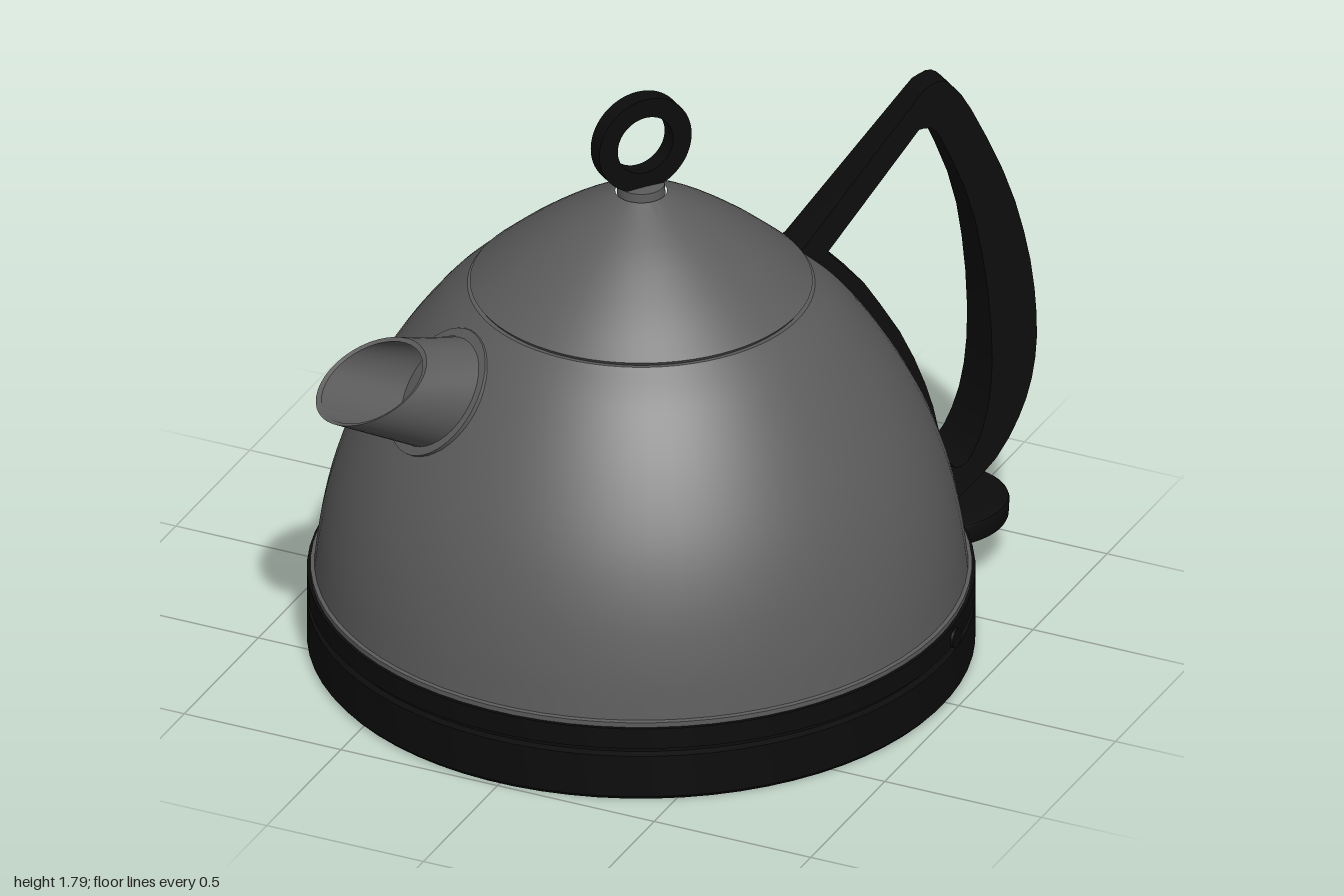
import * as THREE from 'three';
import { toCreasedNormals } from 'three/addons/utils/BufferGeometryUtils.js';

const V2 = (p) => p.map(([x, y]) => new THREE.Vector2(x, y));

// Closed smooth or straight-cornered outline
function outline(corners, curve) {
  return [...V2(corners), ...new THREE.SplineCurve(V2(curve)).getPoints(28)];
}

// Surface through oval rings given as [upper (r,y), lower (r,y), half width]
function loftOvals(rings, n = 40) {
  const pos = [], idx = [];
  rings.forEach(([a, b, w], j) => {
    for (let i = 0; i <= n; i++) {
      const t = (i / n) * Math.PI * 2, c = Math.cos(t) / 2;
      pos.push((a[0] + b[0]) / 2 + (a[0] - b[0]) * c, (a[1] + b[1]) / 2 + (a[1] - b[1]) * c, w * Math.sin(t));
      if (j && i < n) {
        const q = j * (n + 1) + i, p = q - n - 1;
        idx.push(p, p + 1, q, p + 1, q + 1, q);
      }
    }
  });
  const g = new THREE.BufferGeometry();
  g.setAttribute('position', new THREE.Float32BufferAttribute(pos, 3));
  g.setIndex(idx);
  return toCreasedNormals(g, 0.6);
}

export function createModel() {
  const kettle = new THREE.Group();
  kettle.name = 'kettle';
  const steel = new THREE.MeshStandardMaterial({ color: 0x5c5c5c });
  const thinSteel = new THREE.MeshStandardMaterial({ color: 0x5c5c5c, side: THREE.DoubleSide });
  const black = new THREE.MeshStandardMaterial({ color: 0x0c0c0c });

  // Everything is built with the handle towards +x, then turned
  const turned = new THREE.Group();
  turned.name = 'kettleBody';
  turned.position.z = 0.03;
  turned.rotation.y = 0.92;
  kettle.add(turned);

  const add = (name, geo, mat, parent = turned) => {
    const m = new THREE.Mesh(geo, mat);
    m.name = name;
    parent.add(m);
    return m;
  };
  const lathe = (name, pts, mat, crease = 0.5) =>
    add(name, toCreasedNormals(new THREE.LatheGeometry(V2(pts), 72), crease), mat);

  // Base with a groove between stand and body ring
  lathe('base', [[0, 0], [0.955, 0], [0.965, 0.012], [0.965, 0.145], [0.945, 0.15], [0.945, 0.165],
    [0.965, 0.17], [0.965, 0.235], [0.93, 0.235]], black);
  lathe('bodyRim', [[0.955, 0.23], [0.955, 0.25], [0.94, 0.253]], steel);

  // Domed body
  const dome = new THREE.SplineCurve(V2([[0.945, 0.24], [0.924, 0.4], [0.882, 0.575], [0.815, 0.745],
    [0.715, 0.92], [0.6, 1.075], [0.502, 1.172]])).getPoints(28);
  lathe('body', [...dome.map((p) => [p.x, p.y]), [0.485, 1.17]], steel);

  // Lid with its neck
  const lid = new THREE.SplineCurve(V2([[0.495, 1.182], [0.375, 1.285], [0.23, 1.39], [0.075, 1.478]])).getPoints(14);
  lathe('lid', [[0.485, 1.168], ...lid.map((p) => [p.x, p.y])], steel);
  lathe('knobCollar', [[0.07, 1.47], [0.068, 1.502], [0, 1.505]], steel);

  // Flat ring knob
  const ring = new THREE.Shape().absarc(0, 0, 0.15, 0, Math.PI * 2);
  ring.holes.push(new THREE.Path().absarc(0, 0, 0.09, 0, Math.PI * 2, true));
  const ringGeo = new THREE.ExtrudeGeometry(ring, { depth: 0.054, bevelEnabled: false, curveSegments: 40 });
  ringGeo.translate(0, 1.64, -0.027);
  add('lidRing', toCreasedNormals(ringGeo, 0.5), black);

  // Handle: diagonal arm, curved grip and a strip down the body, wider towards the foot
  const handle = new THREE.Shape(outline(
    [[0.76, 0.7], [0.62, 0.98], [0.47, 1.17], [0.5, 1.19], [0.875, 1.575]],
    [[0.9, 1.6], [0.95, 1.615], [0.99, 1.59], [1.05, 1.5], [1.163, 1.24], [1.225, 1.0], [1.246, 0.79],
      [1.235, 0.63], [1.19, 0.49], [1.105, 0.36], [0.99, 0.27], [0.93, 0.235], [0.86, 0.235]]));
  handle.holes.push(new THREE.Path(outline(
    [[0.575, 1.155]],
    [[0.69, 1.03], [0.81, 0.83], [0.89, 0.63], [0.925, 0.48], [0.95, 0.385], [0.985, 0.36], [1.03, 0.395],
      [1.08, 0.52], [1.1, 0.7], [1.085, 0.95], [1.04, 1.2], [0.955, 1.42], [0.92, 1.47], [0.88, 1.475]])));
  const handleGeo = new THREE.ExtrudeGeometry(handle, { depth: 2, bevelEnabled: false });
  handleGeo.translate(0, 0, -1);
  const hp = handleGeo.attributes.position;
  for (let i = 0; i < hp.count; i++) hp.setZ(i, hp.getZ(i) * (0.1 - 0.045 * (hp.getY(i) - 0.25)));
  add('handle', toCreasedNormals(handleGeo, 0.5), black);

  // Rounded switch lever and its bracket under the handle foot
  const halfOval = (name, length, halfWidth, y, height, tilt) => {
    const s = new THREE.Shape().absellipse(0, 0, length, halfWidth, -Math.PI / 2, Math.PI / 2);
    const g = new THREE.ExtrudeGeometry(s, {
      depth: height, curveSegments: 28, bevelEnabled: true, bevelSize: 0.012, bevelThickness: 0.012, bevelSegments: 2,
    });
    g.rotateX(-Math.PI / 2);
    const m = add(name, toCreasedNormals(g, 0.7), black);
    m.position.set(0.92, y, 0);
    m.rotation.z = tilt;
  };
  halfOval('switchLever', 0.24, 0.2, 0.18, 0.045, -0.06);
  halfOval('switchBracket', 0.13, 0.11, 0.105, 0.08, 0.15);

  // Spout: open tapering tube, rim tilted outwards, with a collar on the body
  const spout = new THREE.Group();
  spout.name = 'spout';
  spout.rotation.y = Math.PI;
  turned.add(spout);
  add('spoutTube', loftOvals([
    [[0.46, 1.1], [0.67, 0.8], 0.165], [[0.555, 1.118], [0.765, 0.845], 0.165], [[0.72, 1.152], [1.035, 0.99], 0.17],
    [[0.732, 1.142], [1.018, 0.992], 0.158], [[0.56, 1.1], [0.755, 0.86], 0.15], [[0.47, 1.085], [0.66, 0.82], 0.15],
  ]), thinSteel, spout);
  add('spoutCollar', loftOvals([
    [[0.49, 1.13], [0.75, 0.8], 0.185], [[0.54, 1.142], [0.785, 0.823], 0.185], [[0.558, 1.122], [0.77, 0.847], 0.165],
  ]), thinSteel, spout);

  // Indicator button on the base
  const button = add('baseButton', new THREE.CylinderGeometry(0.03, 0.03, 0.02, 24), black, kettle);
  button.position.set(0.961, 0.19, -0.05);
  button.rotation.z = -Math.PI / 2;

  return kettle;
}
